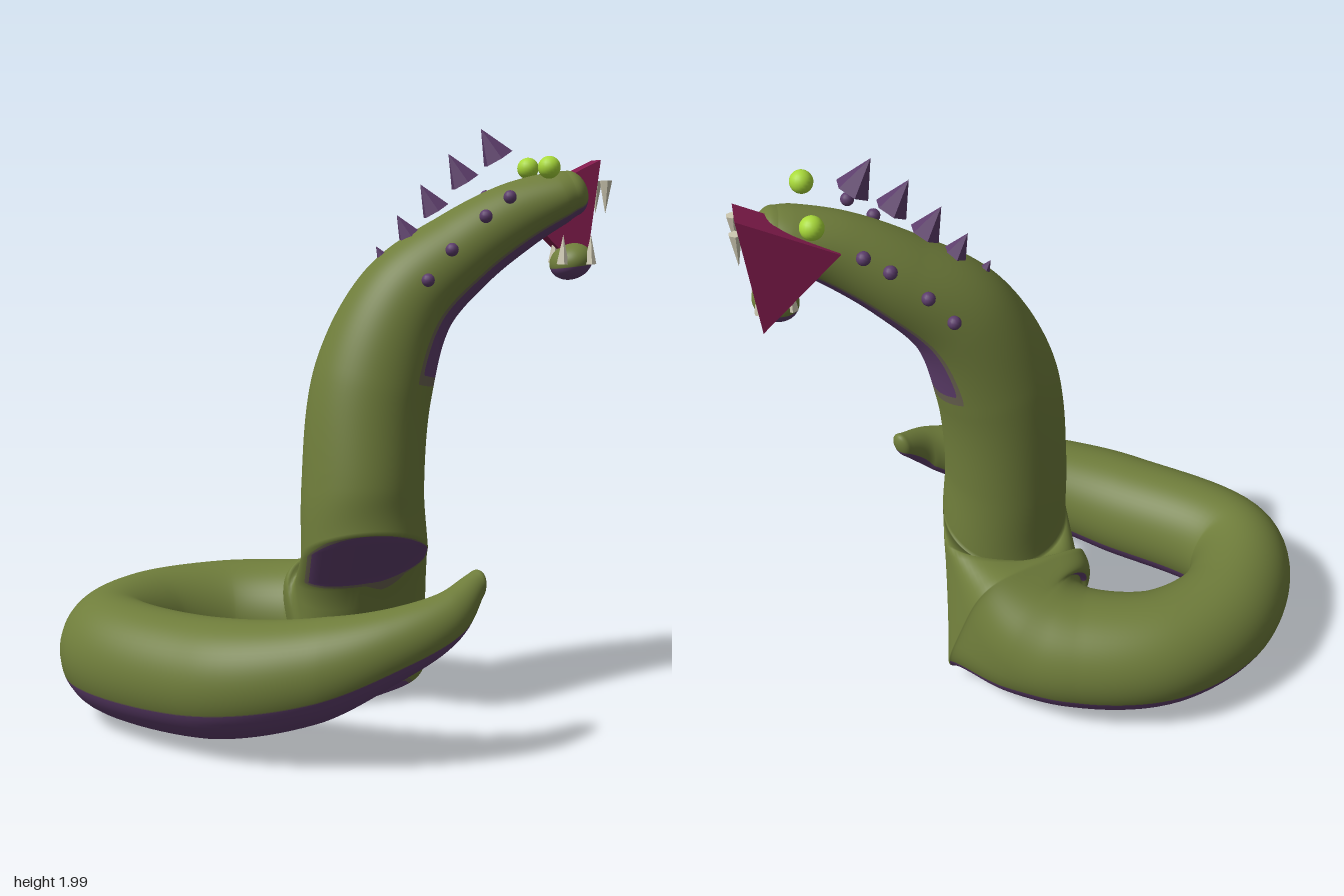
import * as THREE from 'three';

const mat = (name, color, extra = {}) => {
  const m = new THREE.MeshStandardMaterial({ color, ...extra });
  m.name = name;
  return m;
};
const V = (x, y, z) => new THREE.Vector3(x, y, z);
const { smoothstep } = THREE.MathUtils;
const SIDES = 64;
const MID_Z = -0.05; // centre plane of the head

// One ring round c with half axes along u and w; power 1 is an ellipse, less is squarer
function ring(c, u, w, ru, rw, power = 1) {
  const pts = [], bend = (v) => Math.sign(v) * Math.abs(v) ** power;
  for (let j = 0; j < SIDES; j++) {
    const a = (j / SIDES) * Math.PI * 2;
    pts.push(c.clone().addScaledVector(u, ru * bend(Math.cos(a))).addScaledVector(w, rw * bend(Math.sin(a))));
  }
  return pts;
}

// Rings along stations [x, y, z, ru, rw]; upAt(t) gives the u axis, powerAt(t) the squareness.
// A dome closes the start (capStart) or the end (capEnd).
function sweep(stations, upAt, powerAt, steps, capStart, capEnd) {
  const path = new THREE.CatmullRomCurve3(stations.map((s) => V(s[0], s[1], s[2])));
  const size = new THREE.CatmullRomCurve3(stations.map((s) => V(s[3], s[4], 0)));
  const make = (t, shift, k) => {
    const T = path.getTangent(t), u = upAt(t).normalize();
    const w = u.clone().cross(T).normalize(), r = size.getPoint(t);
    return ring(path.getPoint(t).addScaledVector(T, shift * r.y), u, w, r.x * k, r.y * k, powerAt(t));
  };
  const rings = [], dome = 8;
  const angle = (i) => (i / dome) * Math.PI / 2;
  if (capStart) for (let i = dome; i > 0; i--) rings.push(make(0, -Math.sin(angle(i)) * capStart, Math.max(Math.cos(angle(i)), 0.01)));
  for (let i = 0; i <= steps; i++) rings.push(make(i / steps, 0, 1));
  if (capEnd) for (let i = 1; i <= dome; i++) rings.push(make(1, Math.sin(angle(i)) * capEnd, Math.max(Math.cos(angle(i)), 0.01)));
  return rings;
}

function blend(a, b, steps) {
  const out = [];
  for (let i = 1; i < steps; i++) out.push(a.map((p, j) => p.clone().lerp(b[j], i / steps)));
  return out;
}

function loft(rings) {
  const pos = [], idx = [];
  rings.forEach((r) => r.forEach((p) => pos.push(p.x, p.y, p.z)));
  for (let i = 0; i < rings.length - 1; i++) {
    for (let j = 0; j < SIDES; j++) {
      const k = (j + 1) % SIDES, a = i * SIDES, b = a + SIDES;
      idx.push(a + j, b + j, a + k, a + k, b + j, b + k);
    }
  }
  const g = new THREE.BufferGeometry();
  g.setAttribute('position', new THREE.Float32BufferAttribute(pos, 3));
  g.setIndex(idx);
  g.computeVertexNormals();
  return g;
}

// Cuts triangles where the field crosses a level; returns [below, above]
function cut(tris, level) {
  const parts = [[], []];
  const mix = (a, b) => {
    const t = (level - a.f) / (b.f - a.f);
    return { p: a.p.clone().lerp(b.p, t), n: a.n.clone().lerp(b.n, t).normalize(), f: level };
  };
  for (const tri of tris) {
    const up = tri.map((v) => (v.f > level ? 1 : 0)), sum = up[0] + up[1] + up[2];
    if (sum === 0 || sum === 3) { parts[up[0]].push(tri); continue; }
    const lone = up.indexOf(sum === 1 ? 1 : 0);
    const a = tri[lone], b = tri[(lone + 1) % 3], c = tri[(lone + 2) % 3];
    const ab = mix(a, b), ac = mix(a, c);
    parts[up[lone]].push([a, ab, ac]);
    parts[1 - up[lone]].push([ab, b, c], [ab, c, ac]);
  }
  return parts;
}

// Groups 0 skin, 1 edge, 2 belly, by a field of vertex index and normal that is positive on the belly
function paintBelly(g, field) {
  const { position, normal } = g.attributes, src = g.index.array, verts = [], tris = [];
  for (let i = 0; i < position.count; i++) {
    const n = V().fromBufferAttribute(normal, i);
    verts.push({ p: V().fromBufferAttribute(position, i), n, f: field(i, n) });
  }
  for (let i = 0; i < src.length; i += 3) tris.push([verts[src[i]], verts[src[i + 1]], verts[src[i + 2]]]);
  const [rest, belly] = cut(tris, 0);
  const out = new THREE.BufferGeometry(), pos = [], nor = [];
  [...cut(rest, -0.07), belly].forEach((part, k) => {
    out.addGroup(pos.length / 3, part.length * 3, k);
    for (const v of part.flat()) {
      pos.push(v.p.x, v.p.y, v.p.z);
      nor.push(v.n.x, v.n.y, v.n.z);
    }
  });
  out.setAttribute('position', new THREE.Float32BufferAttribute(pos, 3));
  out.setAttribute('normal', new THREE.Float32BufferAttribute(nor, 3));
  return out;
}

export function createModel() {
  const group = new THREE.Group();
  const hide = [
    mat('olive skin', 0x6f7d3b, { side: THREE.DoubleSide }),
    mat('dusky belly edge', 0x6b6452, { side: THREE.DoubleSide }),
    mat('purple belly', 0x603f6e, { side: THREE.DoubleSide }),
  ];
  const spine = mat('purple spine', 0x5c3d6b);
  const mouth = mat('maroon mouth', 0x821b4c);
  const eye = mat('lime eye', 0xa9da3a);
  const ivory = mat('ivory tooth', 0xcec9b2);
  const add = (name, geo, material, p = [0, 0, 0]) => {
    const m = new THREE.Mesh(geo, material);
    m.name = name;
    m.position.set(...p);
    group.add(m);
    return m;
  };

  // Body: tail and coil, a sharp fold, then the raised neck and head
  const coil = sweep([
    [0.395, 0.557, 0.46, 0.05, 0.042], [0.295, 0.475, 0.53, 0.09, 0.075], [0.13, 0.4, 0.545, 0.12, 0.105],
    [-0.08, 0.315, 0.49, 0.165, 0.15], [-0.41, 0.245, 0.32, 0.195, 0.185], [-0.75, 0.24, -0.045, 0.2, 0.18],
    [-0.63, 0.24, -0.33, 0.2, 0.185], [-0.35, 0.24, -0.465, 0.2, 0.195], [-0.08, 0.245, -0.415, 0.205, 0.207],
    [0.05, 0.26, -0.325, 0.23, 0.225], [0.11, 0.275, -0.2, 0.275, 0.25],
  ], (t) => V(0, 1, 0).lerp(V(-0.25, 0.95, -0.25), smoothstep(t, 0.78, 1)),
  (t) => 1 - 0.52 * smoothstep(t, 0.85, 1), 120, 0.9, 0);
  const neck = sweep([
    [0.105, 0.57, 0.01, 0.232, 0.217], [0.1, 0.8, 0, 0.215, 0.208], [0.137, 1.15, -0.028, 0.197, 0.205],
    [0.25, 1.42, -0.047, 0.17, 0.175], [0.44, 1.59, MID_Z, 0.145, 0.14], [0.62, 1.705, -0.044, 0.121, 0.117],
    [0.77, 1.77, -0.042, 0.112, 0.09], [0.81, 1.783, -0.042, 0.1, 0.078],
  ], (t) => V(0, -0.45, -0.9).lerp(V(0, 0, -1), smoothstep(t, 0, 0.25)), () => 1, 100, 0, 0.7);
  const fold = ring(V(0.11, 0.495, -0.105), V(0, 0.25, -0.97), V(0.98, 0.2, 0), 0.14, 0.235);
  const base = [...coil, ...blend(coil[coil.length - 1], fold, 6), fold, ...blend(fold, neck[0], 6)];

  // Belly: the underside of the coil and fold, a patch at the foot, and a strip under the leaning neck
  add('body', paintBelly(loft([...base, ...neck]), (i, n) => {
    const row = Math.floor(i / SIDES), a = (i % SIDES) / SIDES * Math.PI * 2;
    if (row < coil.length - 1) return 4 * (-n.y - 0.38);
    if (row < coil.length) return Math.cos(a) < 0 ? 0.25 - Math.abs(Math.sin(a) - 0.03) : -0.2;
    if (row <= base.length) return -n.y - 0.5;
    return Math.min(4 * ((row - base.length) / 100 - 0.325), Math.sin(a) - 0.68);
  }), hide);

  // Lower jaw
  const jaw = new THREE.SphereGeometry(1, 40, 32);
  jaw.scale(0.074, 0.06, 0.083);
  jaw.rotateZ(0.4);
  jaw.translate(0.82, 1.554, MID_Z);
  add('lowerJaw', paintBelly(jaw, (i, n) => 4 * (-n.y - 0.3)), hide);

  // Open mouth wedge
  const wedge = new THREE.Shape([[0.62, 1.75], [0.87, 1.51], [0.915, 1.895]].map((p) => new THREE.Vector2(...p)));
  add('mouth', new THREE.ExtrudeGeometry(wedge, { depth: 0.117, bevelEnabled: false }), mouth, [0, 0, -0.165]);

  // Eyes and cheek bumps, mirrored about the head's centre plane
  const eyeGeo = new THREE.SphereGeometry(0.037, 20, 14);
  const bumpGeo = new THREE.SphereGeometry(0.022, 14, 10);
  const bumps = [[0.298, 1.503, 0.17], [0.375, 1.602, 0.176], [0.485, 1.71, 0.18], [0.562, 1.772, 0.188]];
  for (const s of [1, -1]) {
    add('eye', eyeGeo, eye, [0.7, 1.868, MID_Z + s * 0.148]);
    for (const [x, y, dz] of bumps) add('bump', bumpGeo, spine, [x, y, MID_Z + s * dz]);
  }

  // Spines down the neck: base centre and size
  for (const [x, y, k] of [[0.185, 1.55, 0.62], [0.268, 1.632, 0.85], [0.352, 1.725, 0.94], [0.45, 1.82, 1], [0.562, 1.898, 1.05]]) {
    const g = new THREE.ConeGeometry(0.054 * k, 0.11 * k, 6).toNonIndexed();
    g.computeVertexNormals();
    g.translate(0, 0.055 * k, 0);
    add('spine', g, spine, [x, y, MID_Z]).rotation.z = 0.55;
  }

  // Teeth: upper pair points down, lower ones point up
  const tooth = new THREE.ConeGeometry(0.021, 0.11, 6).toNonIndexed();
  tooth.computeVertexNormals();
  for (const z of [0.012, -0.106]) {
    add('upperTooth', tooth, ivory, [0.917, 1.77, z]).rotation.x = Math.PI;
    for (const x of [0.775, 0.87]) add('lowerTooth', tooth, ivory, [x, 1.597, z]).scale.y = 0.9;
  }
  return group;
}
